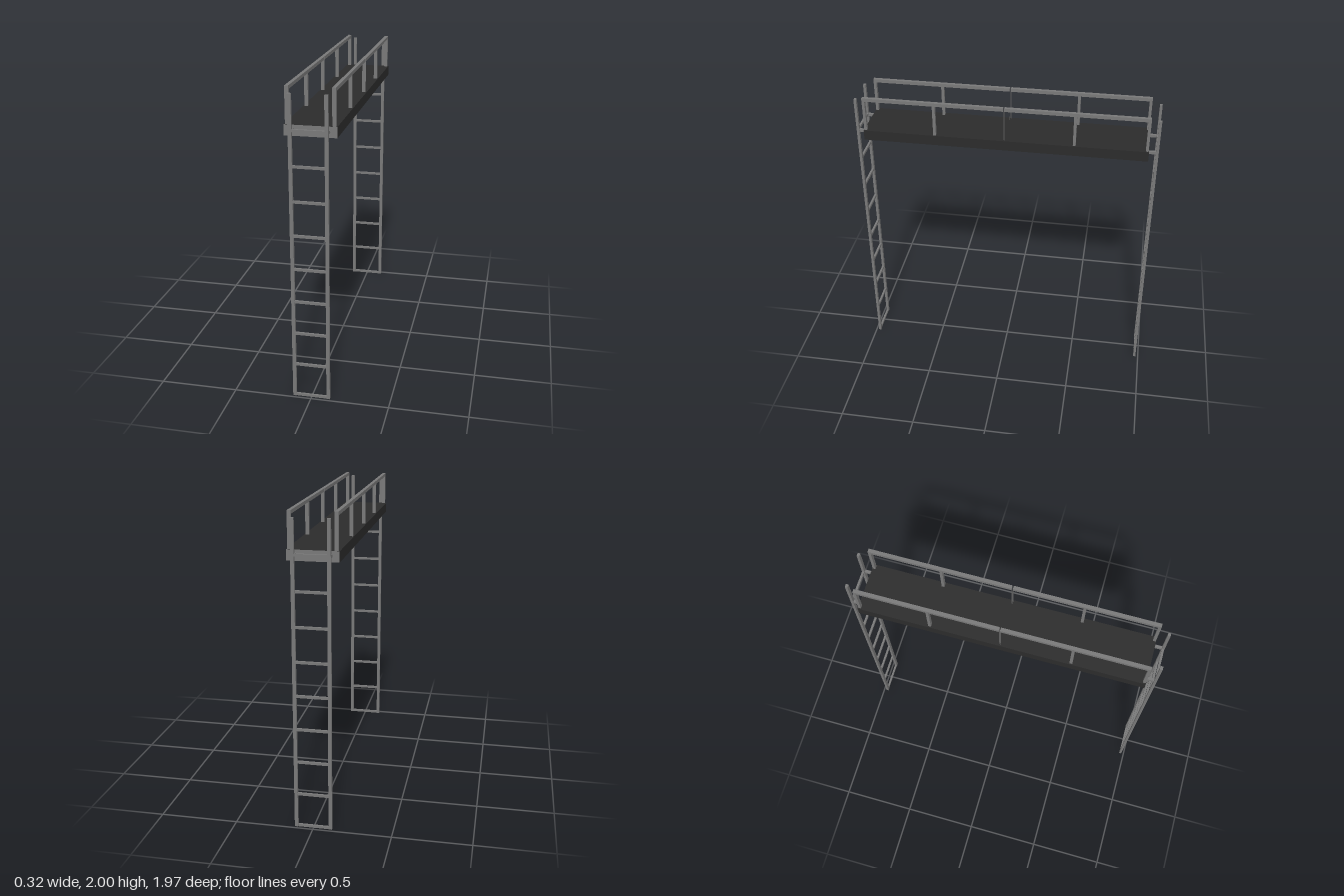
import * as THREE from 'three';

export function createModel() {
  const model = new THREE.Group();
  const steel = new THREE.MeshStandardMaterial({ color: 0x787878 });
  const dark = new THREE.MeshStandardMaterial({ color: 0x2b2b2b });
  const steelSheet = new THREE.MeshStandardMaterial({ color: 0x787878, side: THREE.DoubleSide });

  const box = (parent, name, w, h, d, x, y, z, material = steel) => {
    const mesh = new THREE.Mesh(new THREE.BoxGeometry(w, h, d), material);
    mesh.name = name;
    mesh.position.set(x, y, z);
    parent.add(mesh);
    return mesh;
  };

  // Walkway deck: dark top, bottom and sides, bare steel ends
  const deckTop = 1.772, deckBottom = 1.705, deckEnd = 0.921;
  box(model, 'deck', 0.32, deckTop - deckBottom, deckEnd * 2, 0, (deckTop + deckBottom) / 2, 0,
    [dark, dark, dark, dark, steel, steel]);

  for (const end of [1, -1]) {
    // Ladder at each end, joined to the deck by two short brackets
    const ladder = new THREE.Group();
    ladder.name = end > 0 ? 'frontLadder' : 'backLadder';
    model.add(ladder);
    const z = end * 0.974;
    for (const side of [1, -1]) {
      box(ladder, 'ladderPost', 0.022, 1.97, 0.017, side * 0.109, 0.985, z);
      box(ladder, 'deckBracket', 0.018, 0.017, 0.046, side * 0.109, 1.745, end * 0.943);
    }
    for (let i = 0; i < 9; i++) {
      box(ladder, 'rung', 0.2, 0.016, 0.014, 0, 0.009 + i * 0.2178, z);
    }

    // Handrail half on each side of the deck
    for (const side of [1, -1]) {
      const rail = new THREE.Group();
      rail.name = (end > 0 ? 'front' : 'back') + (side > 0 ? 'Left' : 'Right') + 'Handrail';
      model.add(rail);
      const x = side * 0.141, gap = 0.004, outer = 0.918;
      box(rail, 'topRail', 0.023, 0.022, outer - gap, x, 1.989, end * (outer + gap) / 2);
      for (const pz of [0.909, 0.451]) {
        box(rail, 'railPost', 0.023, 1.98 - deckTop, 0.018, x, (1.98 + deckTop) / 2, end * pz);
      }
      // Thin plate closing the half at the middle joint
      const plate = new THREE.Mesh(new THREE.PlaneGeometry(0.023, 2 - deckTop), steelSheet);
      plate.name = 'middlePlate';
      plate.position.set(x, (2 + deckTop) / 2, end * (gap - 0.0005));
      rail.add(plate);
    }
  }
  return model;
}
